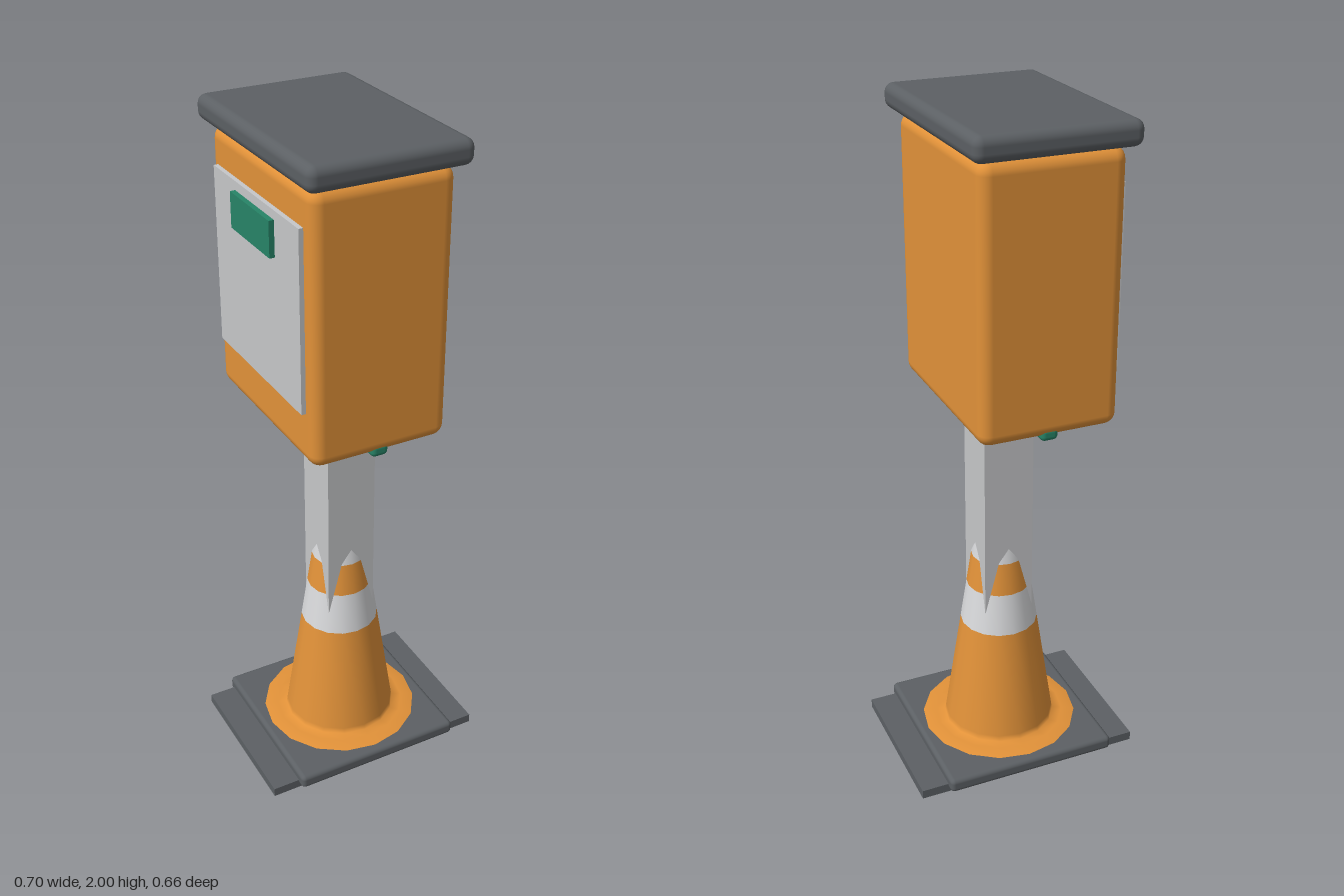
import * as THREE from 'three';
import { RoundedBoxGeometry } from 'three/addons/geometries/RoundedBoxGeometry.js';

const material = (name, color) => {
  const m = new THREE.MeshStandardMaterial({ color });
  m.name = name;
  return m;
};

export function createModel() {
  const orange = material('orange', 0xe29239);
  const darkGrey = material('dark grey', 0x5c6064);
  const lightGrey = material('light grey', 0xc6c7c9);
  const white = material('reflective white', 0xdadbdd);
  const green = material('green', 0x278467);

  const group = new THREE.Group();
  group.name = 'boxOnConePost';

  const add = (name, geometry, mat) => {
    const mesh = new THREE.Mesh(geometry, mat);
    mesh.name = name;
    group.add(mesh);
    return mesh;
  };
  // Box given by its extents; a radius rounds the edges
  const box = (name, mat, [x0, x1], [y0, y1], [z0, z1], radius = 0) => {
    const size = [x1 - x0, y1 - y0, z1 - z0];
    const geometry = radius
      ? new RoundedBoxGeometry(...size, 3, radius)
      : new THREE.BoxGeometry(...size);
    add(name, geometry, mat).position.set((x0 + x1) / 2, (y0 + y1) / 2, (z0 + z1) / 2);
  };

  // Base: long flat ballast plate under a rounded square slab
  box('ballastPlate', darkGrey, [-0.35, 0.35], [0, 0.028], [-0.24, 0.24]);
  box('baseSlab', darkGrey, [-0.267, 0.267], [0.01, 0.055], [-0.267, 0.267], 0.014);

  // Cone with a low flange, split into coloured bands
  const coneRadius = (y) => 0.171 - (y - 0.06) * 0.149;
  const band = (name, mat, y0, y1, foot = []) => {
    const points = [...foot, [coneRadius(y0), y0], [coneRadius(y1), y1]];
    add(name, new THREE.LatheGeometry(points.map((p) => new THREE.Vector2(...p)), 16), mat);
  };
  band('coneFoot', orange, 0.062, 0.08, [[0.243, 0.05], [0.24, 0.056], [0.2, 0.06]]);
  band('coneLower', orange, 0.08, 0.42);
  band('coneWideStripe', white, 0.42, 0.55);
  band('coneUpper', orange, 0.55, 0.65);
  band('coneTopStripe', white, 0.65, 0.73);

  // Square post rising out of the cone
  box('post', lightGrey, [-0.076, 0.076], [0.06, 1.19], [-0.076, 0.076]);

  // Cabinet and overhanging lid
  box('cabinet', orange, [-0.23, 0.175], [1.16, 1.926], [-0.293, 0.293], 0.035);
  box('lid', darkGrey, [-0.255, 0.203], [1.93, 2], [-0.33, 0.33], 0.026);
  box('lidSeat', darkGrey, [-0.19, 0.135], [1.92, 1.94], [-0.25, 0.25]);

  // Door panel with its label plate
  box('doorPanel', lightGrey, [-0.243, -0.225], [1.315, 1.825], [-0.25, 0.25]);
  box('labelPlate', green, [-0.258, -0.24], [1.7, 1.8], [-0.115, 0.115]);

  // Rounded bar along the underside
  box('undersideBar', green, [-0.053, -0.002], [1.147, 1.185], [-0.288, 0.288], 0.014);

  return group;
}
